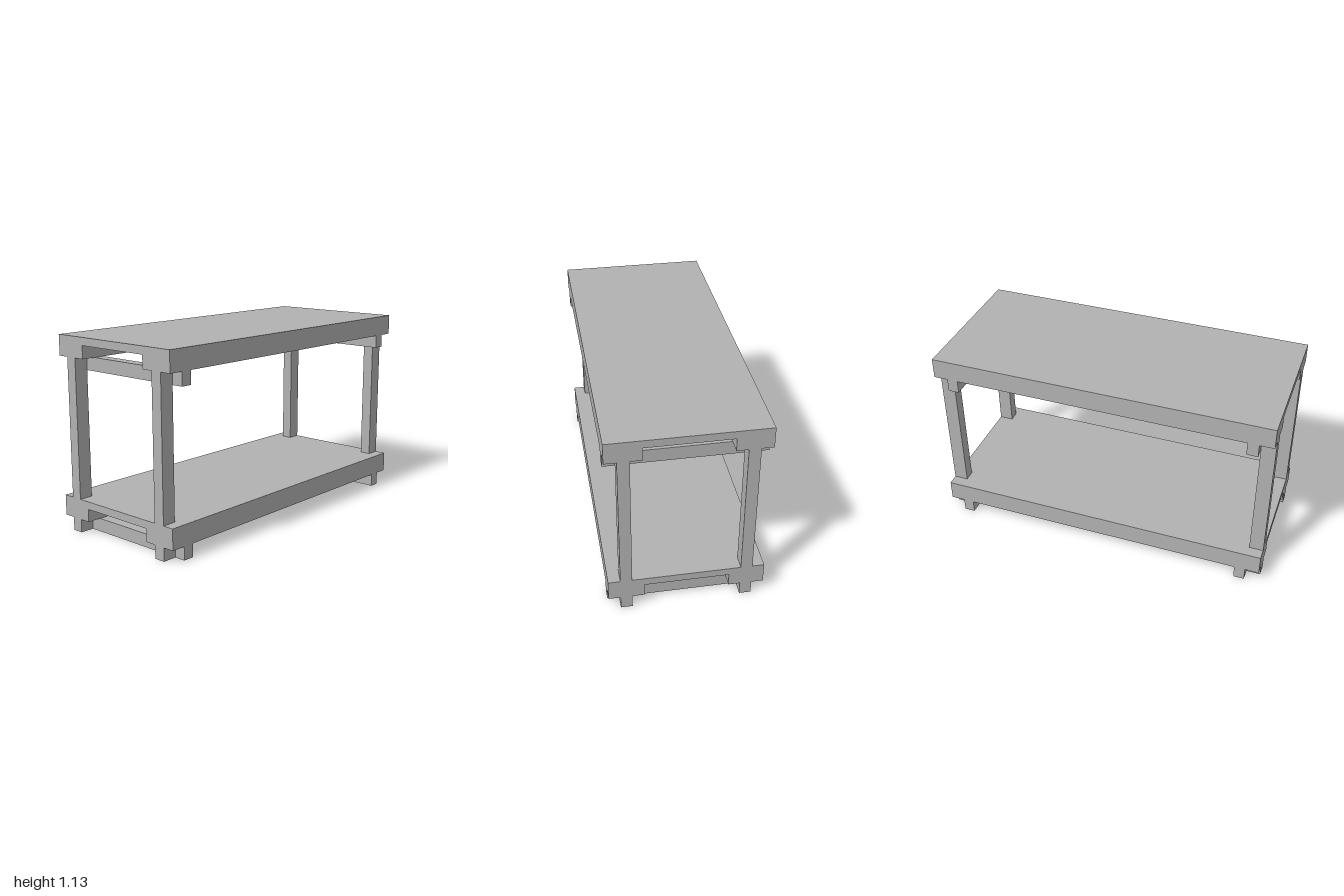
import * as THREE from 'three';

export function createModel() {
  const model = new THREE.Group();
  model.name = 'twoTierBench';
  const grey = new THREE.MeshStandardMaterial({ color: 0xb2b2b2 });
  grey.name = 'plain grey';

  // Box given by its lower and upper limits on each axis
  const addBox = (parent, name, [x0, x1], [y0, y1], [z0, z1]) => {
    const mesh = new THREE.Mesh(new THREE.BoxGeometry(x1 - x0, y1 - y0, z1 - z0), grey);
    mesh.position.set((x0 + x1) / 2, (y0 + y1) / 2, (z0 + z1) / 2);
    mesh.name = name;
    parent.add(mesh);
  };
  const mirrored = ([a, b], side) => (side > 0 ? [a, b] : [-b, -a]);

  const HALF_DEPTH = 0.437;
  const length = [-1, 1];
  const depth = [-HALF_DEPTH, HALF_DEPTH];
  const legX = [0.917, 1];
  const legZ = [0.304, 0.37];
  const barX = [0.853, 0.917];

  // Each shelf: a board on paired long rails, carried by a crossbar at each end
  const addShelf = (name, base) => {
    const shelf = new THREE.Group();
    shelf.name = name;
    shelf.position.y = base;
    addBox(shelf, 'board', length, [0.152, 0.197], depth);
    for (const side of [1, -1]) {
      const end = side > 0 ? 'left' : 'right';
      const face = side > 0 ? 'front' : 'back';
      addBox(shelf, face + 'OuterRail', length, [0.077, 0.152], mirrored([legZ[1], HALF_DEPTH], side));
      addBox(shelf, face + 'InnerRail', length, [0.077, 0.152], mirrored([0.238, legZ[0]], side));
      addBox(shelf, end + 'Crossbar', mirrored(barX, side), [0, 0.077], depth);
    }
    model.add(shelf);
  };
  addShelf('lowerShelf', 0);
  addShelf('upperShelf', 0.929);

  // Legs run between the paired rails, from the floor up to the top board
  for (const sx of [1, -1]) {
    for (const sz of [1, -1]) {
      const leg = new THREE.Group();
      leg.name = (sz > 0 ? 'front' : 'back') + (sx > 0 ? 'Left' : 'Right') + 'Leg';
      addBox(leg, 'foot', mirrored(legX, sx), [0, 0.152], mirrored(legZ, sz));
      addBox(leg, 'post', mirrored(legX, sx), [0.197, 1.081], mirrored(legZ, sz));
      model.add(leg);
    }
  }
  return model;
}
